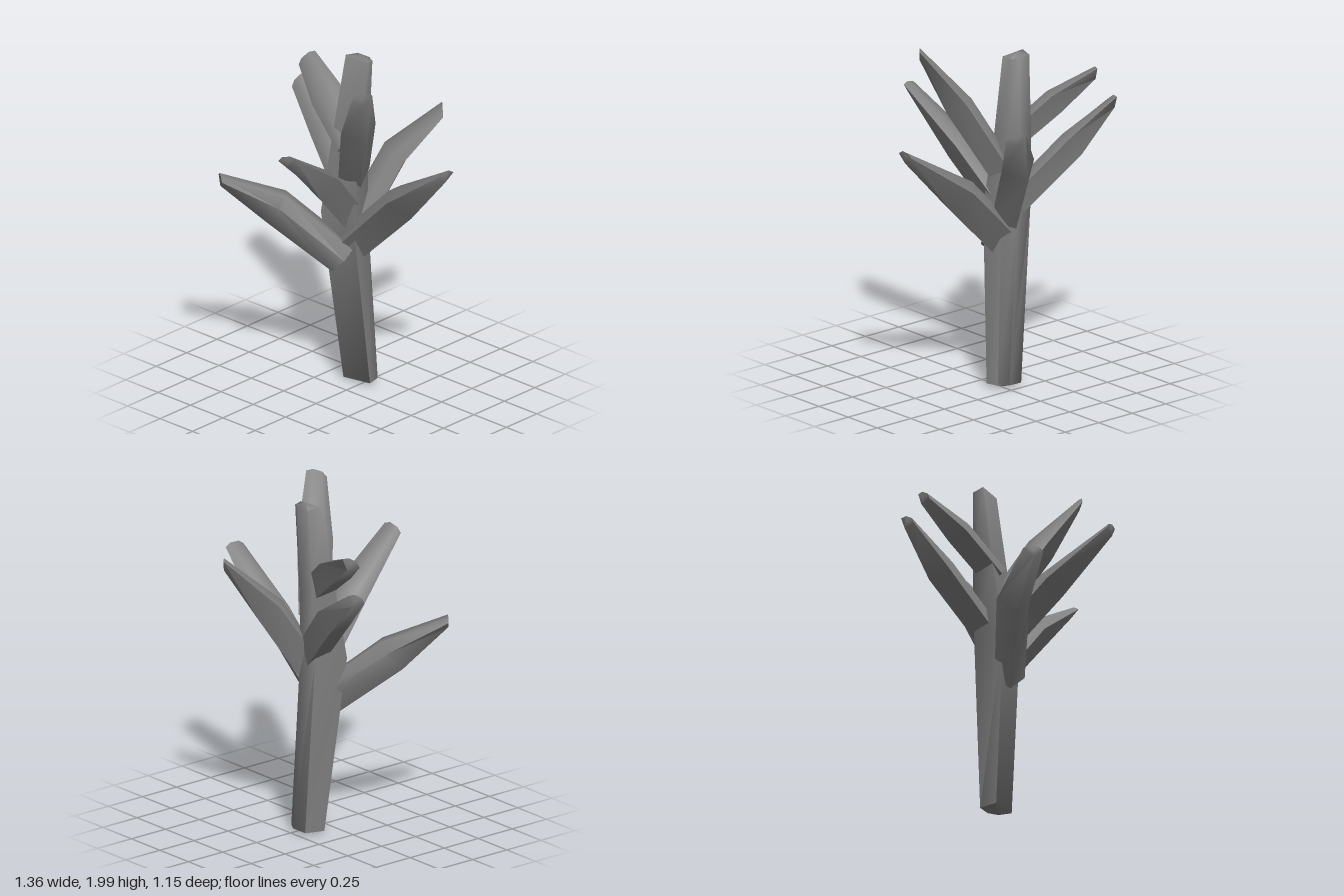
import * as THREE from 'three';
import { toCreasedNormals } from 'three/addons/utils/BufferGeometryUtils.js';

const SIDES = 5;
const V = (a) => new THREE.Vector3(...a);

// Unit cross-sections: a broad-fronted trunk, and a branch with a sharp keel below
const TRUNK = [[1, 1], [-1, 0.75], [-0.85, -0.45], [-0.25, -1], [0.75, -0.85]];
const KEELED = [[0, -1.2], [1.05, 0.15], [0.48, 0.78], [-0.48, 0.78], [-1.05, 0.15]];

// Loft along a bent axis. Each ring is [centre, half width, half depth];
// ref is the direction the back of the section faces, roll turns it about the axis.
function loft(section, rings, ref, { roll = 0, capRise = 0, cutAlongRef = false }) {
  const centres = rings.map((r) => V(r[0]));
  const pos = [];
  const index = [];
  const last = rings.length - 1;
  rings.forEach(([, w, t], i) => {
    const d = centres[Math.min(i + 1, last)].clone().sub(centres[Math.max(i - 1, 0)]).normalize();
    const s = ref.clone().cross(d).normalize();
    const n = cutAlongRef && i === last ? ref : d.clone().cross(s);
    for (const [u, v] of section) {
      const a = w * u * Math.cos(roll) - t * v * Math.sin(roll);
      const b = w * u * Math.sin(roll) + t * v * Math.cos(roll);
      pos.push(...centres[i].clone().addScaledVector(s, a).addScaledVector(n, b).toArray());
    }
  });
  for (let i = 0; i < last; i++) {
    for (let k = 0; k < SIDES; k++) {
      const a = i * SIDES + k;
      const b = i * SIDES + ((k + 1) % SIDES);
      index.push(a, b, b + SIDES, a, b + SIDES, a + SIDES);
    }
  }
  // end caps, raised in the middle by capRise
  const base = (last + 1) * SIDES;
  const [c0, c1] = [centres[0], centres[last]];
  pos.push(c0.x, c0.y - capRise, c0.z, c1.x, c1.y + capRise, c1.z);
  for (let k = 0; k < SIDES; k++) {
    const m = (k + 1) % SIDES;
    index.push(base, m, k, base + 1, last * SIDES + k, last * SIDES + m);
  }
  const geo = new THREE.BufferGeometry();
  geo.setAttribute('position', new THREE.Float32BufferAttribute(pos, 3));
  geo.setIndex(index);
  return toCreasedNormals(geo, 1.3);
}

// Branches: root inside the trunk, widest point, cut tip, then half width, half depth, roll
const BRANCHES = {
  lowerFrontRightBranch: [[-0.06, 0.79, -0.05], [-0.37, 1.09, 0.17], [-0.57, 1.27, 0.43], 0.09, 0.105, 0],
  lowerLeftBranch: [[-0.06, 0.87, -0.11], [0.29, 1.22, -0.14], [0.665, 1.5, -0.105], 0.105, 0.1, 0],
  frontBranch: [[-0.09, 1.0, -0.13], [-0.01, 1.34, 0.19], [0.06, 1.62, 0.55], 0.1, 0.085, 0.3],
  backBranch: [[-0.05, 0.98, -0.14], [0.04, 1.36, -0.36], [0.225, 1.62, -0.55], 0.1, 0.085, 0.4],
  middleRightBranch: [[-0.08, 1.08, -0.16], [-0.41, 1.39, -0.28], [-0.68, 1.595, -0.34], 0.095, 0.08, -0.55],
  upperRightBranch: [[-0.08, 1.45, -0.13], [-0.34, 1.64, -0.21], [-0.58, 1.775, -0.295], 0.095, 0.072, -0.55],
  upperFrontLeftBranch: [[-0.05, 1.28, -0.12], [0.13, 1.66, 0.035], [0.3, 1.96, 0.19], 0.1, 0.08, 0.3],
};

export function createModel() {
  const group = new THREE.Group();
  const material = new THREE.MeshStandardMaterial({ color: 0x808080 });
  const add = (name, geo) => {
    const mesh = new THREE.Mesh(geo, material);
    mesh.name = name;
    group.add(mesh);
  };

  // leaning trunk, thickest halfway up
  add('trunk', loft(TRUNK, [
    [[-0.025, 0.02, -0.168], 0.095, 0.066],
    [[-0.09, 1.05, -0.118], 0.11, 0.115],
    [[-0.095, 1.45, -0.16], 0.097, 0.08],
    [[-0.08, 1.965, -0.207], 0.08, 0.043],
  ], new THREE.Vector3(0, 0, 1), { capRise: 0.02 }));

  // keeled, tapering branches
  for (const [name, [root, mid, tip, w, t, roll]] of Object.entries(BRANCHES)) {
    add(name, loft(KEELED, [
      [root, w * 0.9, t * 0.95],
      [mid, w, t],
      [tip, 0.058, 0.034],
    ], new THREE.Vector3(0, 1, 0), { roll, cutAlongRef: true }));
  }
  return group;
}
